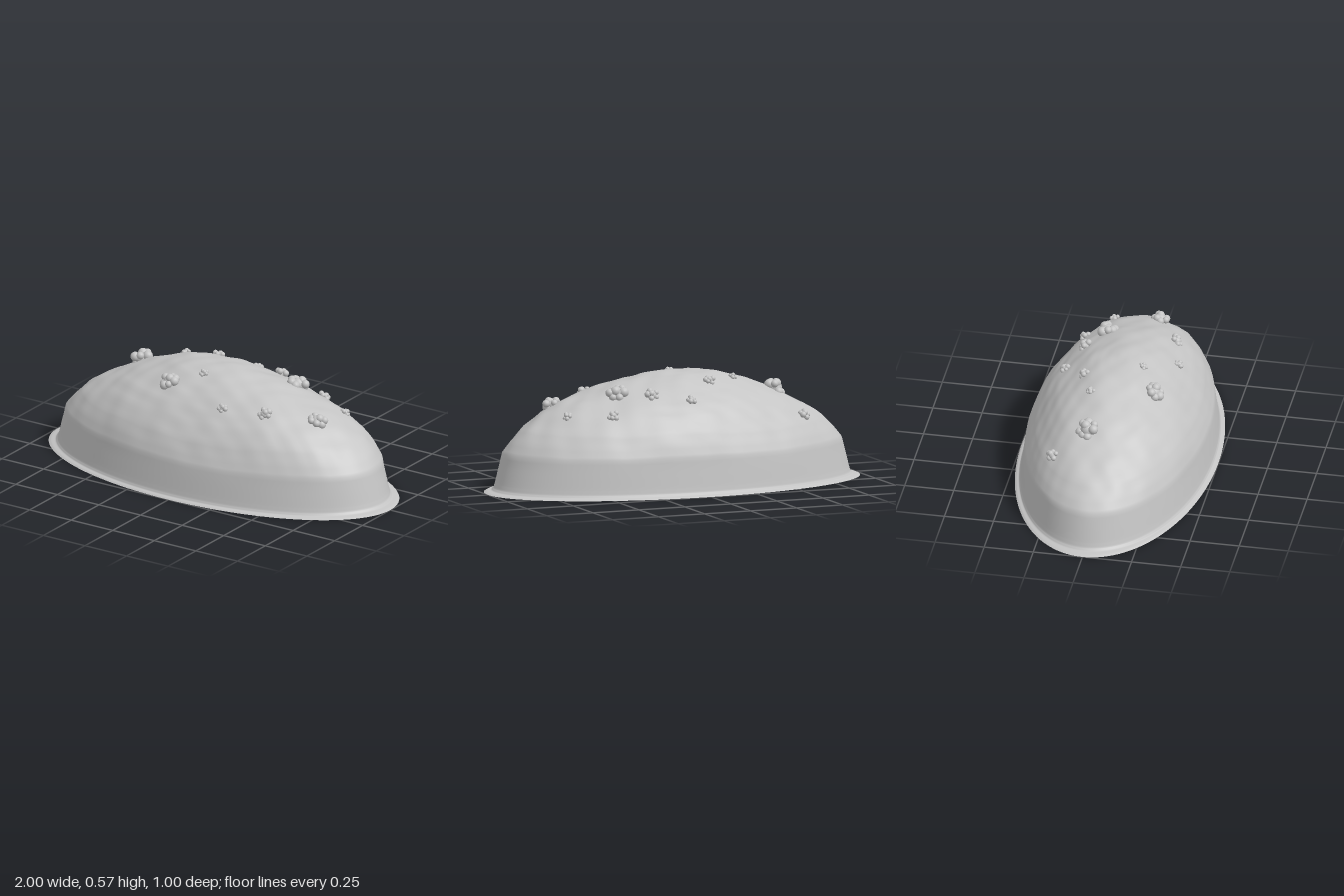
import * as THREE from 'three';
import { mergeVertices, mergeGeometries } from 'three/addons/utils/BufferGeometryUtils.js';

const grey = new THREE.MeshStandardMaterial({ color: 0xc4c4c4 });
grey.name = 'stone grey';

// Half section of the mound: radius fraction and height, from rim to crown.
const profile = [
  [1, 0], [0.985, 0.006], [0.96, 0.011], [0.948, 0.024], [0.94, 0.05], [0.925, 0.11], [0.903, 0.195],
  [0.86, 0.25], [0.8, 0.312], [0.7, 0.383], [0.6, 0.437], [0.5, 0.477], [0.4, 0.51],
  [0.3, 0.536], [0.2, 0.553], [0.1, 0.562], [0, 0.565],
];
const DEPTH = 0.5; // z squash of the oval plan

function profileHeight(r) {
  for (let i = 1; i < profile.length; i++) {
    const [r0, y0] = profile[i - 1], [r1, y1] = profile[i];
    if (r >= r1) return y0 + (y1 - y0) * (r0 - r) / (r0 - r1);
  }
  return 0.565;
}

// Soft lumps and fine ripples of the crust.
function lumps(x, z) {
  return 0.006 * Math.sin(7 * x + 3 * z + 2.6) + 0.005 * Math.sin(11 * z - 5 * x + 1)
    + 0.004 * Math.sin(17 * x + 13 * z) * Math.cos(19 * z - 6 * x)
    + 0.0022 * Math.sin(37 * x - 21 * z + 2 * Math.sin(9 * z)) * Math.cos(43 * z + 8 * x);
}

function random(seed) {
  return () => (seed = (seed * 16807) % 2147483647) / 2147483647;
}

function moundGeometry() {
  // Subdivide the profile evenly, then spin it into an oval
  const points = [];
  for (let i = 0; i < profile.length - 1; i++) {
    for (let k = 0; k < 4; k++) {
      const [r0, y0] = profile[i], [r1, y1] = profile[i + 1], t = k / 4;
      points.push(new THREE.Vector2(r0 + (r1 - r0) * t, y0 + (y1 - y0) * t));
    }
  }
  points.push(new THREE.Vector2(0, 0.565));
  let g = new THREE.LatheGeometry(points, 160);
  g.scale(1, 1, DEPTH);
  const p = g.attributes.position;
  for (let i = 0; i < p.count; i++) {
    const x = p.getX(i), y = p.getY(i), z = p.getZ(i);
    const n = lumps(x, z) * THREE.MathUtils.smoothstep(y, 0.13, 0.3);
    p.setXYZ(i, x * (1 + n * 0.6), y + n, z * (1 + n * 0.6));
  }
  g.deleteAttribute('uv');
  g.deleteAttribute('normal');
  g = mergeVertices(g, 1e-5);
  g.computeVertexNormals();
  return g;
}

// A knobbly cluster: one core ringed by smaller balls.
function clusterGeometry(size, seed) {
  const rnd = random(seed);
  const parts = [new THREE.SphereGeometry(size * 0.6, 14, 10)];
  const count = size > 0.045 ? 7 : 5;
  for (let i = 0; i < count; i++) {
    const a = (i / count) * Math.PI * 2 + rnd() * 0.5;
    const r = size * (0.32 + 0.14 * rnd());
    const d = size * (0.55 + 0.15 * rnd());
    parts.push(new THREE.SphereGeometry(r, 12, 9)
      .translate(Math.cos(a) * d, size * (rnd() * 0.5 - 0.15), Math.sin(a) * d));
  }
  parts.push(new THREE.SphereGeometry(size * 0.42, 12, 9)
    .translate(size * 0.15, size * 0.4, -size * 0.1));
  return mergeGeometries(parts);
}

// x, z and radius of each cluster
const clusters = [
  [-0.62, -0.22, 0.036], [-0.53, -0.062, 0.06], [-0.29, -0.093, 0.024], [-0.135, -0.155, 0.03],
  [0.015, -0.278, 0.03], [0.2, -0.213, 0.038], [0.355, -0.13, 0.058], [0.427, -0.257, 0.031],
  [0.63, -0.145, 0.027], [0.615, 0.085, 0.05], [0.387, 0.213, 0.037], [0.168, 0.265, 0.028],
  [-0.035, 0.125, 0.025], [-0.185, 0.205, 0.053],
];

export function createModel() {
  const model = new THREE.Group();
  model.name = 'mound';
  const add = (name, geometry) => {
    const mesh = new THREE.Mesh(geometry, grey);
    mesh.name = name;
    model.add(mesh);
    return mesh;
  };

  add('domeAndRim', moundGeometry());
  add('base', new THREE.CircleGeometry(1, 160).rotateX(Math.PI / 2).scale(1, 1, DEPTH));

  // Clusters sit on the crust, tilted to follow its slope
  const up = new THREE.Vector3(0, 1, 0);
  const height = (x, z) => profileHeight(Math.hypot(x, z / DEPTH)) + lumps(x, z);
  clusters.forEach(([x, z, size], i) => {
    const e = 0.04;
    const normal = new THREE.Vector3(
      height(x - e, z) - height(x + e, z), 2 * e, height(x, z - e) - height(x, z + e)).normalize();
    const mesh = add('cluster' + (i + 1), clusterGeometry(size, 101 + i * 977));
    mesh.position.set(x, height(x, z), z).addScaledVector(normal, size * 0.12);
    mesh.quaternion.setFromUnitVectors(up, normal);
  });
  return model;
}
